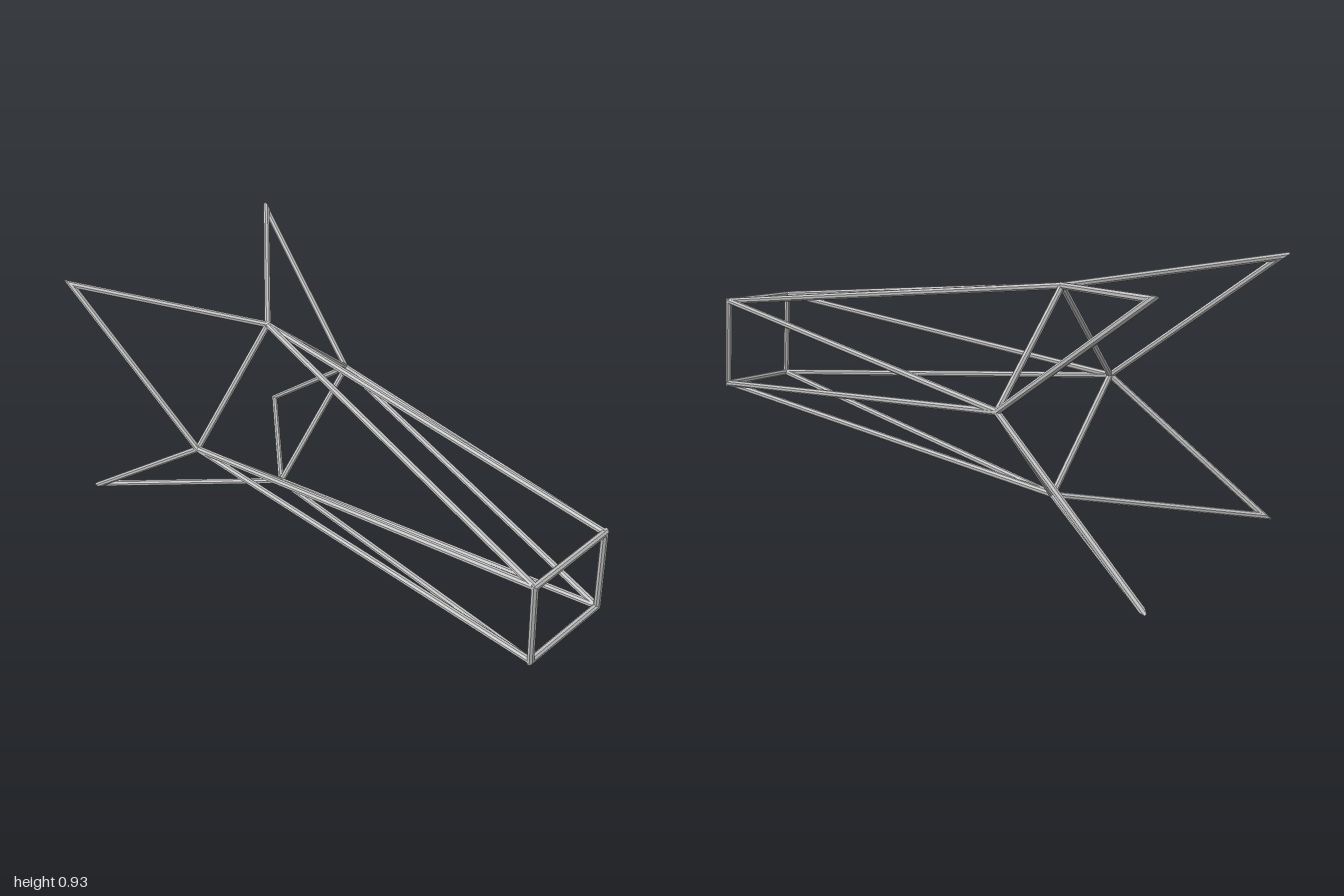
import * as THREE from 'three';

const RADIUS = 0.012;
const SIDES = 8;
const CENTRE_Y = 0.465;

// Strut from a to b. A neighbour point at an end cuts that end to a mitre.
function strutGeometry(a, b, beforeA, afterB) {
  const dir = b.clone().sub(a).normalize();
  const mitre = (end, inner, outer) => outer
    ? inner.clone().sub(end).normalize().sub(outer.clone().sub(end).normalize())
    : dir;
  const ends = [[a, mitre(a, b, beforeA)], [b, mitre(b, a, afterB)]];
  const u = new THREE.Vector3(0, 1, 0).cross(dir);
  if (u.length() < 0.1) u.set(1, 0, 0).cross(dir);
  u.normalize();
  const v = dir.clone().cross(u);

  const positions = [];
  for (const [point, normal] of ends) {
    for (let i = 0; i < SIDES; i++) {
      const angle = ((i + 0.5) / SIDES) * Math.PI * 2;
      const offset = u.clone().multiplyScalar(Math.cos(angle) * RADIUS)
        .addScaledVector(v, Math.sin(angle) * RADIUS);
      const slide = -normal.dot(offset) / normal.dot(dir);
      positions.push(...offset.add(point).addScaledVector(dir, slide).toArray());
    }
  }
  const index = [];
  for (let i = 0; i < SIDES; i++) {
    const j = (i + 1) % SIDES;
    index.push(i, j, SIDES + j, i, SIDES + j, SIDES + i);
  }
  // end caps
  for (let i = 1; i < SIDES - 1; i++) {
    index.push(0, i + 1, i, SIDES, SIDES + i, SIDES + i + 1);
  }
  const geometry = new THREE.BufferGeometry();
  geometry.setAttribute('position', new THREE.Float32BufferAttribute(positions, 3));
  geometry.setIndex(index);
  const flat = geometry.toNonIndexed();
  flat.computeVertexNormals();
  return flat;
}

// Four points, each a quarter turn clockwise about the long axis.
function quarterTurns(x, y, z) {
  const points = [];
  for (let i = 0; i < 4; i++) {
    points.push(new THREE.Vector3(x, y + CENTRE_Y, z));
    [x, y] = [y, -x];
  }
  return points;
}

export function createModel() {
  const model = new THREE.Group();
  model.name = 'strutFrame';
  const steel = new THREE.MeshStandardMaterial({ color: 0xc0c0c0, flatShading: true });
  steel.name = 'light grey steel';

  const addStrut = (name, a, b, beforeA, afterB) => {
    const mesh = new THREE.Mesh(strutGeometry(a, b, beforeA, afterB), steel);
    mesh.name = name;
    model.add(mesh);
  };

  const front = quarterTurns(-0.172, 0.149, 0.988);
  const middle = quarterTurns(-0.016, 0.358, -0.402);
  const tips = quarterTurns(0.451, 0.451, -0.968);

  const jointGeometry = new THREE.IcosahedronGeometry(RADIUS * 1.1, 1);
  for (let i = 0; i < 4; i++) {
    const next = (i + 1) % 4;
    const after = (i + 2) % 4;
    const previous = (i + 3) % 4;

    // mitred square at the front
    addStrut('frontSquareStrut', front[i], front[next], front[previous], front[after]);
    // twisted band of long triangles
    addStrut('longStrut', middle[i], front[i]);
    addStrut('longStrut', middle[i], front[next]);
    // square joining the four middle joints
    addStrut('middleSquareStrut', middle[i], middle[next]);
    // pointed triangle at the back
    addStrut('backPointStrut', middle[i], tips[i], null, middle[next]);
    addStrut('backPointStrut', middle[next], tips[i], null, middle[i]);

    const joint = new THREE.Mesh(jointGeometry, steel);
    joint.name = 'middleJoint';
    joint.position.copy(middle[i]);
    model.add(joint);
  }
  return model;
}
